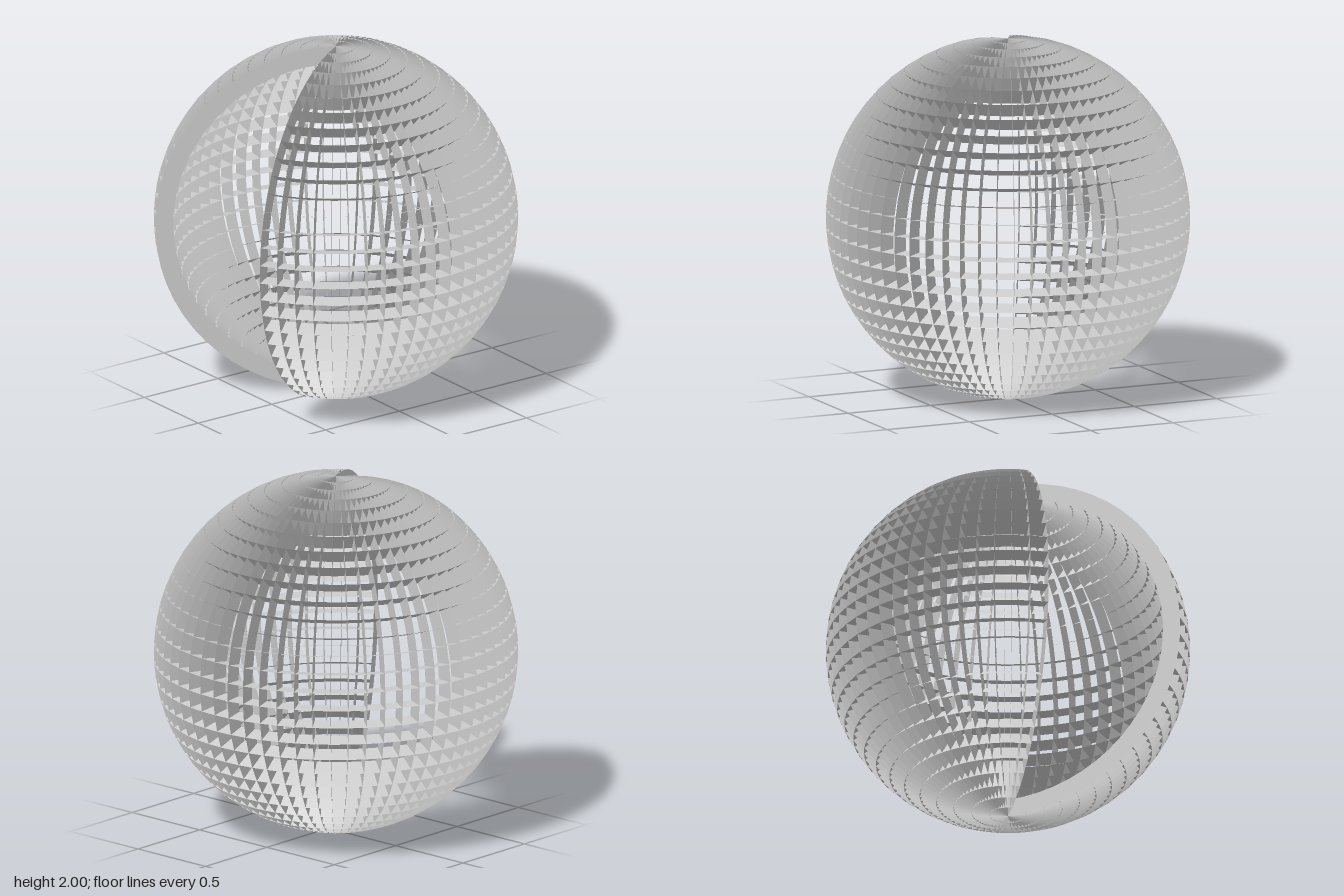
import * as THREE from 'three';

const OUTER = 1, INNER = 0.9;
const BANDS = 31;                        // cells from pole to pole
const STEP = Math.PI / BANDS;            // same angle between neighbouring fins both ways
const GAP = 5;                           // half of the front opening, in steps
const SPAN = 2 * BANDS - 2 * GAP;        // cells around the shell

export function createModel() {
  const model = new THREE.Group();
  const material = new THREE.MeshStandardMaterial({
    color: 0xcccccc, flatShading: true, side: THREE.DoubleSide,
  });

  // Upright fins: half rings fanned around the vertical axis, leaving the front open
  const meridianFins = new THREE.Group();
  meridianFins.name = 'meridianFins';
  const finShape = new THREE.RingGeometry(INNER, OUTER, BANDS, 1, -Math.PI / 2, Math.PI);
  for (let i = 0; i <= SPAN; i++) {
    const fin = new THREE.Mesh(finShape, material);
    fin.name = i === 0 || i === SPAN ? 'openingEdgeFin' : 'meridianFin';
    fin.rotation.y = (GAP + i) * STEP - Math.PI / 2;
    meridianFins.add(fin);
  }

  // Latitude fins: conical bands whose walls point at the centre of the sphere
  const latitudeFins = new THREE.Group();
  latitudeFins.name = 'latitudeFins';
  for (let k = 1; k < BANDS; k++) {
    const s = Math.sin(k * STEP), c = Math.cos(k * STEP);
    const profile = [INNER, OUTER].map((r) => new THREE.Vector2(r * s, r * c));
    const band = new THREE.Mesh(
      new THREE.LatheGeometry(profile, SPAN, GAP * STEP, SPAN * STEP), material);
    band.name = 'latitudeFin';
    latitudeFins.add(band);
  }

  model.add(meridianFins, latitudeFins);
  // Stand on the ground and centre the cut sphere in depth
  model.position.set(0, OUTER, (OUTER - OUTER * Math.cos(GAP * STEP)) / 2);
  const root = new THREE.Group();
  model.name = 'latticeSphere';
  root.add(model);
  return root;
}
